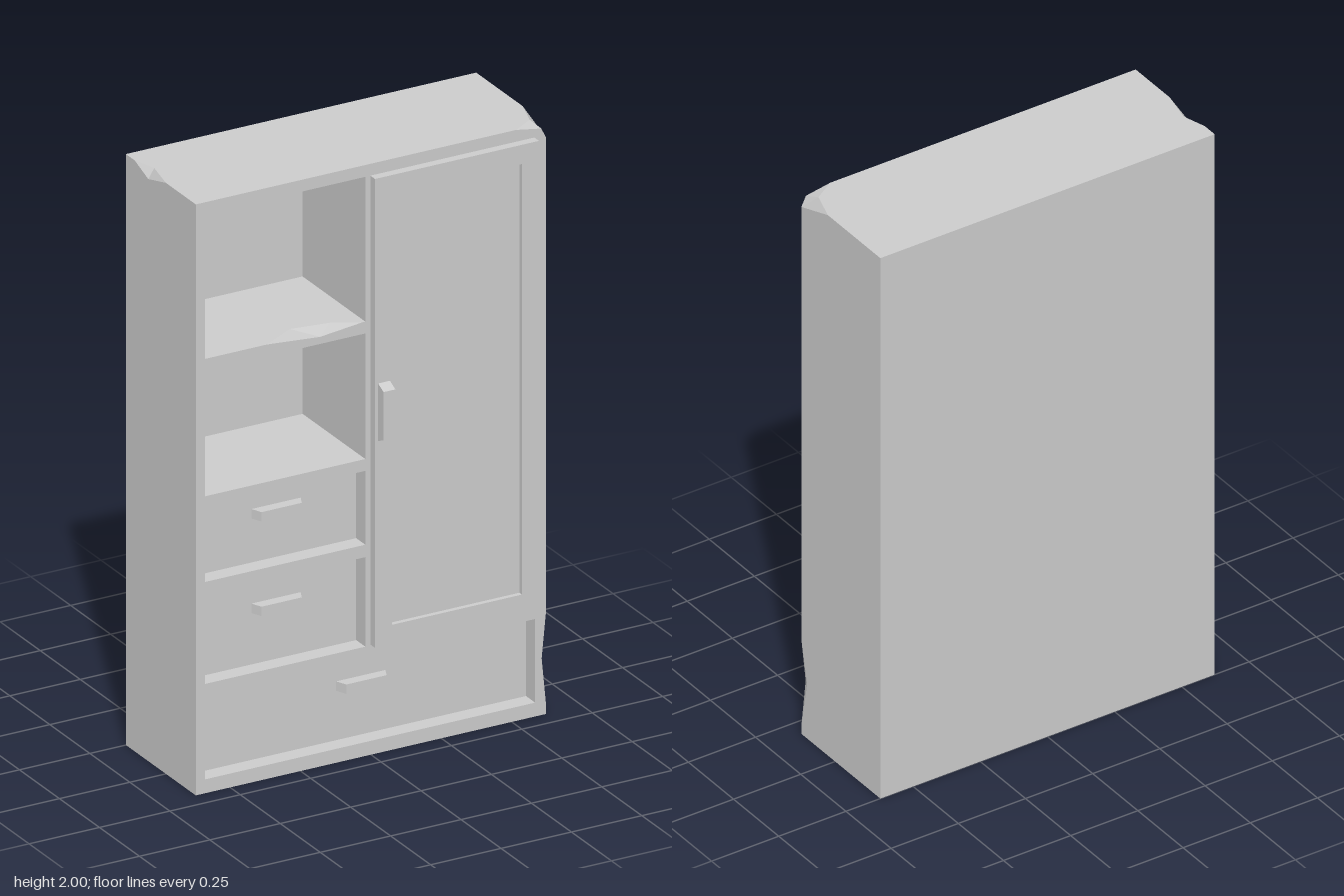
import * as THREE from 'three';

const mat = new THREE.MeshStandardMaterial({ color: 0xcccccc, flatShading: true });
const L = -0.622, R = 0.622, T = 2, B = -0.25, F = 0.187; // cabinet limits
const V = (x, y, z) => new THREE.Vector3(x, y, z);

// Flat polygons (with holes) collected into one geometry, each facing the given direction
function polygonSet() {
  const out = [];
  const add = (pts, dir, holes = []) => {
    const d = V(...dir), a = dir.map(Math.abs), k = a.indexOf(Math.max(...a));
    const flat = p => k === 0 ? new THREE.Vector2(p.y, p.z)
      : k === 1 ? new THREE.Vector2(p.x, p.z) : new THREE.Vector2(p.x, p.y);
    // copies wound as the triangulator expects
    const wind = (ps, ccw) => THREE.ShapeUtils.isClockWise(ps.map(flat)) === ccw ? [...ps].reverse() : ps;
    const outer = wind(pts, true), inner = holes.map(h => wind(h, false));
    const all = [...outer, ...inner.flat()];
    for (const f of THREE.ShapeUtils.triangulateShape(outer.map(flat), inner.map(h => h.map(flat)))) {
      let [p, q, r] = f.map(i => all[i]);
      const n = q.clone().sub(p).cross(r.clone().sub(p));
      if (n.dot(d) < 0) [q, r] = [r, q];
      out.push(p, q, r);
    }
  };
  const build = () => {
    const g = new THREE.BufferGeometry().setFromPoints(out);
    g.computeVertexNormals();
    return g;
  };
  return { add, build };
}

// Handle block with sloped ends: length along x, depth along +z
function handleGeometry(len, depth, width) {
  const s = new THREE.Shape([[-len / 2, 0], [len / 2, 0], [len / 2 - 0.016, depth], [-len / 2 + 0.016, depth]]
    .map(p => new THREE.Vector2(...p)));
  return new THREE.ExtrudeGeometry(s, { depth: width, bevelEnabled: false })
    .translate(0, 0, -width / 2).rotateX(Math.PI / 2);
}

function rectPath(Type, x0, x1, y0, y1) {
  return new Type([[x0, y0], [x1, y0], [x1, y1], [x0, y1]].map(p => new THREE.Vector2(...p)));
}

export function createModel() {
  const group = new THREE.Group();
  const mesh = (geo, name, x = 0, y = 0, z = 0) => {
    const m = new THREE.Mesh(geo, mat);
    m.name = name;
    m.position.set(x, y, z);
    group.add(m);
    return m;
  };

  // Chipped top front corner
  const cA = V(0.515, T, F), cB = V(0.59, T, 0.14), cC = V(R, T, 0.04), cR = V(R, 1.95, F), cF = V(0.605, 1.985, F);
  // Chipped lower front edge
  const e0 = V(R, 0.35, F), e1 = V(R, 0.03, F), eF = V(0.606, 0.19, F), eR = V(R, 0.2, 0.155);
  // Chipped top side edge
  const s0 = V(L, T, 0), s1 = V(L, T, -0.195), sT = V(-0.598, T, -0.115), sL = V(L, 1.97, -0.11);
  // Chipped shelf lip
  const l0 = V(-0.37, 1.47, F), l1 = V(-0.03, 1.47, F), lF = V(-0.18, 1.454, F),
    lT0 = V(-0.25, 1.47, 0.12), lT1 = V(-0.12, 1.47, 0.14);

  // Openings: x range, y range, back of the recess
  const openings = [
    { name: 'upperShelf', x0: -0.59, x1: -0.02, y0: 1.47, y1: 1.96, z: -0.205, chipped: true },
    { name: 'lowerShelf', x0: -0.59, x1: -0.02, y0: 1.005, y1: 1.43, z: -0.205 },
    { name: 'upperDrawer', x0: -0.59, x1: -0.02, y0: 0.715, y1: 0.965, z: 0.13, handle: [-0.305, 0.88] },
    { name: 'middleDrawer', x0: -0.59, x1: -0.02, y0: 0.37, y1: 0.673, z: 0.13, handle: [-0.305, 0.56] },
    { name: 'bottomDrawer', x0: -0.59, x1: 0.583, y0: 0.047, y1: 0.33, z: 0.13, handle: [-0.004, 0.23] },
  ];

  // Outer carcass
  const body = polygonSet();
  const holes = openings.map(o => [V(o.x0, o.y0, F), ...(o.chipped ? [l0, lF, l1] : []),
    V(o.x1, o.y0, F), V(o.x1, o.y1, F), V(o.x0, o.y1, F)]);
  body.add([V(L, 0, F), V(R, 0, F), e1, eF, e0, cR, cF, cA, V(L, T, F)], [0, 0, 1], holes);
  body.add([V(L, 0, B), V(R, 0, B), V(R, T, B), V(L, T, B)], [0, 0, -1]);
  body.add([V(L, 0, B), V(R, 0, B), V(R, 0, F), V(L, 0, F)], [0, -1, 0]);
  body.add([V(L, T, F), cA, cB, cC, V(R, T, B), V(L, T, B), s1, sT, s0], [0, 1, 0]);
  body.add([V(R, 0, B), V(R, 0, F), e1, eR, e0, cR, cC, V(R, T, B)], [1, 0, 0]);
  body.add([V(L, 0, B), V(L, 0, F), V(L, T, F), s0, sL, s1, V(L, T, B)], [-1, 0, 0]);
  mesh(body.build(), 'carcass');

  // Broken facets filling the chips
  const chips = polygonSet();
  chips.add([cA, cB, cF], [0.3, 1, 0.5]);
  chips.add([cB, cR, cF], [0.6, 1, 0.5]);
  chips.add([cB, cC, cR], [1, 0.7, 0.3]);
  chips.add([e0, eF, eR], [1, 0, 0.8]);
  chips.add([e1, eF, eR], [1, 0, 0.8]);
  chips.add([s0, sT, sL], [-0.8, 1, 0]);
  chips.add([s1, sT, sL], [-0.8, 1, 0]);
  chips.add([l0, lT0, lF], [0, 1, 0.2]);
  chips.add([lT0, lT1, lF], [0, 1, 0.2]);
  chips.add([lT1, l1, lF], [0, 1, 0.2]);
  mesh(chips.build(), 'chippedEdges');

  // Recess walls, backs and drawer fronts
  for (const { name, x0, x1, y0, y1, z, chipped, handle } of openings) {
    const p = polygonSet();
    p.add([V(x0, y0, z), V(x1, y0, z), V(x1, y1, z), V(x0, y1, z)], [0, 0, 1]);
    p.add([V(x0, y0, z), V(x0, y1, z), V(x0, y1, F), V(x0, y0, F)], [1, 0, 0]);
    p.add([V(x1, y0, z), V(x1, y1, z), V(x1, y1, F), V(x1, y0, F)], [-1, 0, 0]);
    p.add([V(x0, y1, z), V(x1, y1, z), V(x1, y1, F), V(x0, y1, F)], [0, -1, 0]);
    p.add([V(x0, y0, z), V(x1, y0, z), V(x1, y0, F), ...(chipped ? [l1, lT1, lT0, l0] : []), V(x0, y0, F)], [0, 1, 0]);
    mesh(p.build(), name);
    if (handle) mesh(handleGeometry(0.175, 0.036, 0.032), name + 'Handle', ...handle, z);
  }

  // Door: frame, recessed panel and upright handle
  const frame = rectPath(THREE.Shape, -0.002, 0.58, 0.373, 1.96);
  frame.holes.push(rectPath(THREE.Path, 0.058, 0.52, 0.438, 1.895));
  mesh(new THREE.ExtrudeGeometry(frame, { depth: 0.216 - F, bevelEnabled: false }), 'doorFrame', 0, 0, F);
  mesh(new THREE.BoxGeometry(0.462, 1.457, 0.013), 'doorPanel', 0.289, 1.1665, F + 0.0065);
  mesh(handleGeometry(0.195, 0.034, 0.042).rotateZ(Math.PI / 2), 'doorHandle', 0.03, 1.168, 0.216);

  return group;
}
